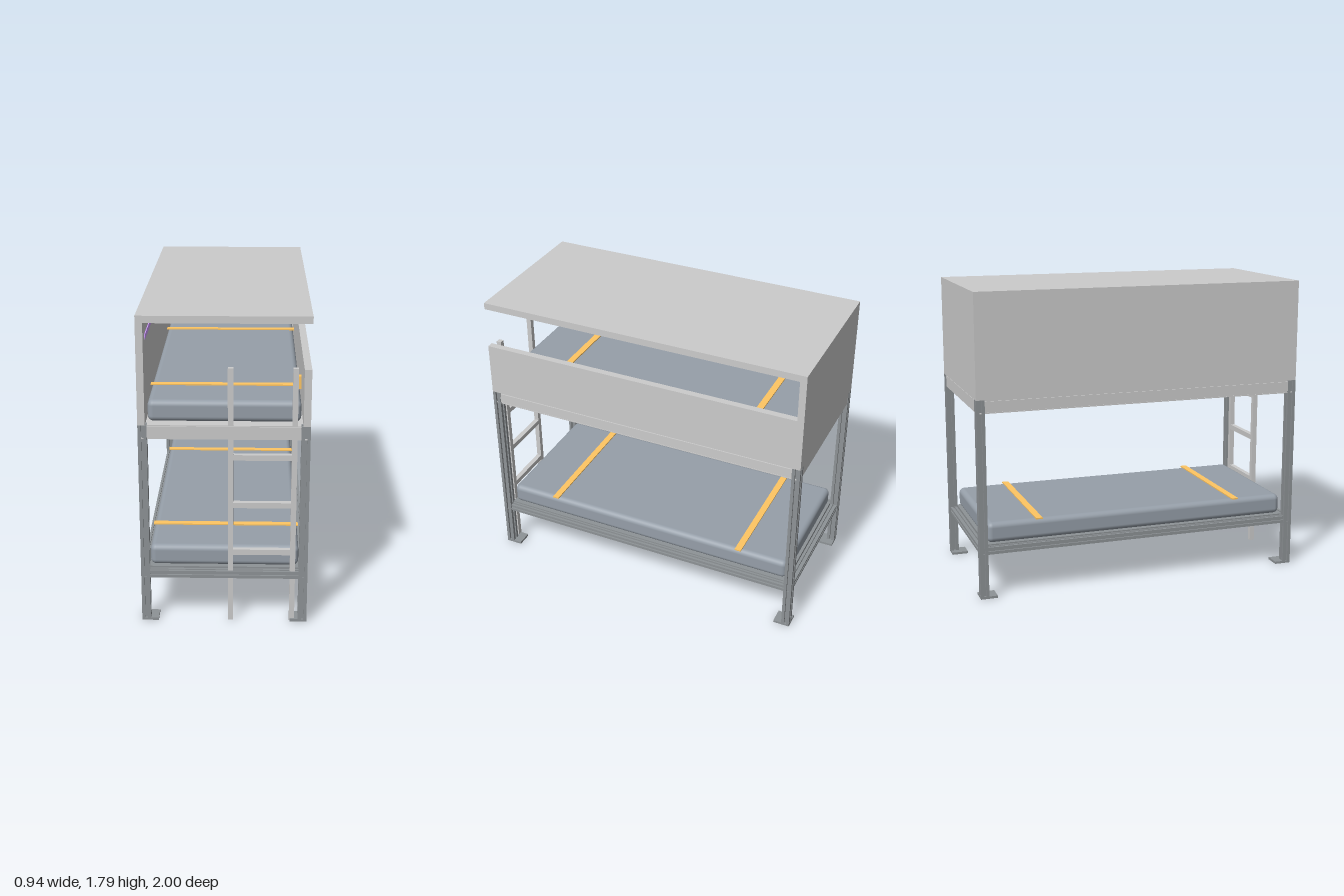
import * as THREE from 'three';
import { RoundedBoxGeometry } from 'three/addons/geometries/RoundedBoxGeometry.js';

const mat = (color) => new THREE.MeshStandardMaterial({ color });
const grey = mat(0xcccccc), steel = mat(0x8e9396), fabric = mat(0x969fa9);
const orange = mat(0xffc662), purple = mat(0xd09cff);

const W = 0.47, L = 1, POST = 0.05, WALL = 0.04;

// Square bar profile with a slot along each side
function slottedShape(size, slot, depth) {
  const h = size / 2, s = slot / 2, d = h - depth, pts = [];
  for (let i = 0; i < 4; i++) {
    const c = Math.round(Math.cos(i * Math.PI / 2)), n = Math.round(Math.sin(i * Math.PI / 2));
    for (const [x, y] of [[h, -h], [h, -s], [d, -s], [d, s], [h, s]]) {
      pts.push(new THREE.Vector2(x * c - y * n, x * n + y * c));
    }
  }
  return new THREE.Shape(pts);
}

// Slotted bar running along z, centred on the origin
function barGeometry(size, length) {
  const geo = new THREE.ExtrudeGeometry(slottedShape(size, size * 0.26, size * 0.24),
    { depth: length, bevelEnabled: false });
  return geo.translate(0, 0, -length / 2);
}

export function createModel() {
  const model = new THREE.Group();
  model.name = 'bunkBed';

  const add = (parent, name, geo, material, x = 0, y = 0, z = 0) => {
    const mesh = new THREE.Mesh(geo, material);
    mesh.name = name;
    mesh.position.set(x, y, z);
    parent.add(mesh);
    return mesh;
  };
  // Box given by its lower and upper corners
  const box = (parent, name, material, [x0, y0, z0], [x1, y1, z1]) =>
    add(parent, name, new THREE.BoxGeometry(x1 - x0, y1 - y0, z1 - z0), material,
      (x0 + x1) / 2, (y0 + y1) / 2, (z0 + z1) / 2);
  const group = (name) => {
    const g = new THREE.Group();
    g.name = name;
    model.add(g);
    return g;
  };

  // Corner posts with foot plates
  const posts = group('posts');
  const postGeo = barGeometry(POST, 1.18).rotateX(Math.PI / 2);
  for (const sx of [-1, 1]) for (const sz of [-1, 1]) {
    add(posts, 'post', postGeo, steel, sx * (W - POST / 2), 0.59, sz * (L - POST / 2));
    add(posts, 'footPlate', new THREE.BoxGeometry(0.095, 0.014, 0.1), steel,
      sx * (W - 0.0475), 0.007, sz * (L - 0.05));
  }

  // Lower frame: slotted rails and a solid base panel
  const lower = group('lowerFrame');
  for (const s of [-1, 1]) {
    add(lower, 'sideRail', barGeometry(0.04, 2 * (L - POST)), steel, s * (W - 0.025), 0.29, 0);
    add(lower, 'endRail', barGeometry(0.04, 2 * (W - POST)).rotateY(Math.PI / 2), steel,
      0, 0.29, s * (L - 0.025));
  }
  box(lower, 'basePanel', steel, [-W + 0.006, 0.267, -L + 0.006], [W - 0.006, 0.272, L - 0.006]);
  box(lower, 'slatPanel', steel, [-0.43, 0.3, -0.95], [0.43, 0.318, 0.95]);

  // Upper frame: rails with raised face boards, and a panel under the mattress
  const upper = group('upperFrame');
  for (const s of [-1, 1]) {
    const side = s * (W - 0.025), end = s * (L - 0.025);
    add(upper, 'sideRail', new THREE.BoxGeometry(0.03, 0.08, 1.9), grey, side, 1.14, 0);
    add(upper, 'sideFace', new THREE.BoxGeometry(0.044, 0.058, 1.9), grey, side, 1.142, 0);
    add(upper, 'endRail', new THREE.BoxGeometry(0.84, 0.08, 0.03), grey, 0, 1.14, end);
    add(upper, 'endFace', new THREE.BoxGeometry(0.84, 0.07, 0.044), grey, 0, 1.14, end);
  }
  box(upper, 'basePanel', grey, [-W + 0.008, 1.1, -L + 0.008], [W - 0.008, 1.106, L - 0.008]);
  box(upper, 'slatPanel', grey, [-0.43, 1.16, -0.96], [0.43, 1.178, 0.96]);

  // Mattresses, each held by two straps
  for (const [name, y] of [['lowerMattress', 0.318], ['upperMattress', 1.18]]) {
    const bed = group(name);
    add(bed, 'mattress', new RoundedBoxGeometry(0.84, 0.122, 1.88, 4, 0.032), fabric, 0, y + 0.061, 0);
    for (const s of [-1, 1]) {
      add(bed, 'strap', new THREE.BoxGeometry(0.85, 0.008, 0.04), orange, 0, y + 0.125, s * 0.63);
    }
  }

  // Cabin: roof, full left-hand wall, back wall, low side wall; front stays open
  const cabin = group('cabin');
  box(cabin, 'roof', grey, [-W, 1.75, -L], [W, 1.79, L]);
  box(cabin, 'tallWall', grey, [-W, 1.18, -L], [-W + WALL, 1.75, L]);
  box(cabin, 'backWall', grey, [-W + WALL, 1.18, -L], [W, 1.75, -L + WALL]);
  box(cabin, 'lowWall', grey, [W - WALL, 1.18, -L + WALL], [W, 1.5, L]);
  box(cabin, 'lightStrip', purple, [-W + WALL, 1.635, -0.9], [-W + WALL + 0.005, 1.665, 0.9]);

  // Ladder with three rungs and a clip to the low wall
  const ladder = group('ladder');
  for (const x of [0.02, 0.37]) {
    box(ladder, 'stile', grey, [x, 0, 0.955], [x + 0.03, 1.5, 0.985]);
  }
  for (const y of [0.425, 0.71, 0.992]) {
    box(ladder, 'rung', grey, [0.05, y - 0.016, 0.955], [0.37, y + 0.016, 0.985]);
  }
  box(ladder, 'clip', orange, [0.4, 1.39, 0.955], [0.414, 1.46, 0.985]);

  return model;
}
